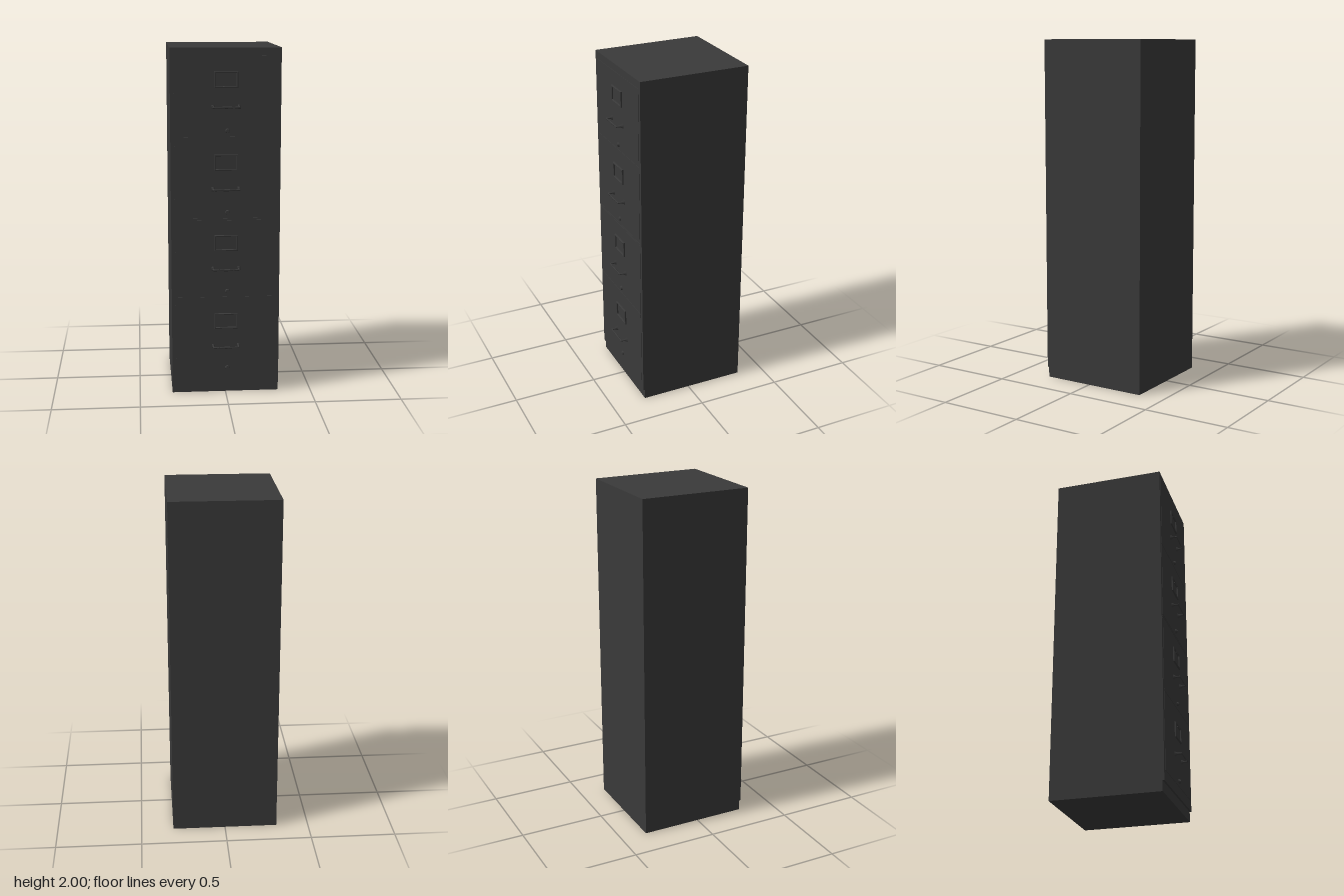
import * as THREE from 'three';

const metal = new THREE.MeshStandardMaterial({ color: 0x3a3a3a });
const FRONT = 0.3;
const CX = 0.002; // hardware centre line

function add(parent, name, geometry, x = 0, y = 0, z = 0) {
  const mesh = new THREE.Mesh(geometry, metal);
  mesh.name = name;
  mesh.position.set(x, y, z);
  parent.add(mesh);
  return mesh;
}

const box = (w, h, d) => new THREE.BoxGeometry(w, h, d);

// Rectangular card holder frame with an open window
function labelFrame() {
  const w = 0.067, h = 0.046, t = 0.009;
  const shape = new THREE.Shape();
  shape.moveTo(-w, -h).lineTo(w, -h).lineTo(w, h).lineTo(-w, h).closePath();
  const hole = new THREE.Path();
  const a = w - t, b = h - t;
  hole.moveTo(-a, -b).lineTo(-a, b).lineTo(a, b).lineTo(a, -b).closePath();
  shape.holes.push(hole);
  return new THREE.ExtrudeGeometry(shape, {
    depth: 0.007, bevelEnabled: true, bevelThickness: 0.002, bevelSize: 0.002, bevelOffset: -0.002, bevelSegments: 1,
  });
}

// Tapered rod between two points
function rod(parent, name, from, to, r0, r1) {
  const dir = to.clone().sub(from);
  const mesh = add(parent, name, new THREE.CylinderGeometry(r1, r0, dir.length(), 10));
  mesh.position.copy(from).add(to).multiplyScalar(0.5);
  mesh.quaternion.setFromUnitVectors(new THREE.Vector3(0, 1, 0), dir.normalize());
}

// Pull: two feet, two leaning legs and a bar swelling at its middle
function handle() {
  const group = new THREE.Group();
  group.name = 'handle';
  for (const s of [-1, 1]) {
    const foot = new THREE.CylinderGeometry(0.007, 0.0125, 0.014, 4, 1);
    foot.rotateY(Math.PI / 4).rotateX(Math.PI / 2).scale(1, 1.4, 1);
    add(group, 'handleFoot', foot, s * 0.074, 0, 0.007);
    rod(group, 'handleLeg', new THREE.Vector3(s * 0.0735, 0, 0.008), new THREE.Vector3(s * 0.071, 0, 0.04), 0.006, 0.0045);
  }
  const profile = [[0, -0.076], [0.0045, -0.074], [0.005, -0.055], [0.0035, -0.04], [0.007, 0],
    [0.0035, 0.04], [0.005, 0.055], [0.0045, 0.074], [0, 0.076]].map(([r, y]) => new THREE.Vector2(r, y));
  const bar = new THREE.LatheGeometry(profile, 12);
  bar.rotateZ(Math.PI / 2).scale(1, 1, 0.7);
  add(group, 'handleBar', bar, 0, 0, 0.0395);
  return group;
}

export function createModel() {
  const model = new THREE.Group();
  model.name = 'filingCabinet';

  // Carcass overhanging a slightly recessed plinth
  add(model, 'carcass', box(0.62, 1.94, 0.645), 0, 1.03, -0.0225);
  add(model, 'plinth', box(0.62, 0.06, 0.635), 0, 0.03, -0.0275);

  // Four drawers: [bottom, top] of each front
  const fronts = [[0.122, 0.579], [0.583, 1.03], [1.047, 1.507], [1.511, 1.957]];
  fronts.forEach(([bottom, top], i) => {
    const drawer = new THREE.Group();
    drawer.name = `drawer${i + 1}`;
    model.add(drawer);
    const y = 0.435 + i * 0.4635;
    add(drawer, 'drawerFront', box(0.576, top - bottom, 0.006), 0, (top + bottom) / 2, FRONT - 0.001);
    add(drawer, 'labelFrame', labelFrame(), CX, y, FRONT + 0.002);
    add(drawer, 'labelLip', box(0.06, 0.006, 0.006), CX + 0.02, y + 0.035, FRONT + 0.005);

    const pull = handle();
    pull.position.set(CX, y - 0.151, FRONT + 0.001);
    drawer.add(pull);

    // Round lock barrel with a stepped face
    const lock = new THREE.CylinderGeometry(0.0105, 0.0135, 0.012, 20);
    add(drawer, 'lock', lock.rotateX(Math.PI / 2), 0.01, y - 0.285, FRONT + 0.006);
    add(drawer, 'lockFace', new THREE.CylinderGeometry(0.006, 0.006, 0.003, 16).rotateX(Math.PI / 2),
      0.01, y - 0.285, FRONT + 0.0125);
  });

  // Rail between the upper and lower pair of drawers
  add(model, 'middleRail', box(0.576, 0.007, 0.004), 0, 1.0385, FRONT);
  return model;
}
